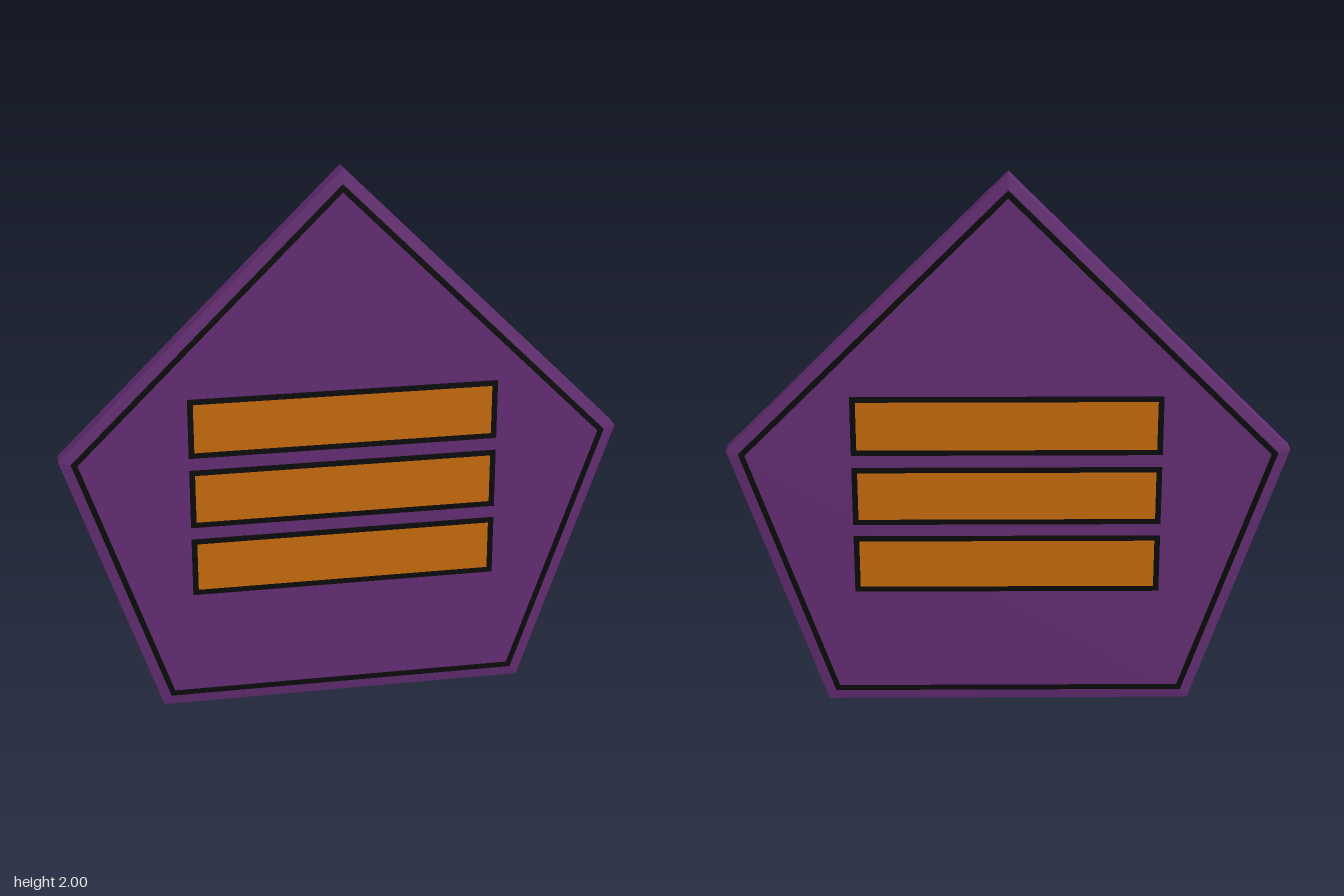
import * as THREE from 'three';

const purple = new THREE.MeshStandardMaterial({ color: 0x652d75 });
purple.name = 'purple';
const black = new THREE.MeshStandardMaterial({ color: 0x0a0a0a });
black.name = 'black';
const orange = new THREE.MeshStandardMaterial({ color: 0xc86c0c });
orange.name = 'orange';

// Counter-clockwise pentagon outline
const outline = [[-0.667, 0], [0.667, 0], [1, 1], [0, 2], [-1, 1]].map(([x, y]) => new THREE.Vector2(x, y));

// Moves every edge of a convex outline inwards by d, keeping mitred corners
function inset(points, d) {
  const n = points.length;
  return points.map((p, i) => {
    const a = p.clone().sub(points[(i + n - 1) % n]).normalize();
    const b = points[(i + 1) % n].clone().sub(p).normalize();
    const na = new THREE.Vector2(-a.y, a.x);
    const nb = new THREE.Vector2(-b.y, b.x);
    return p.clone().add(na.clone().add(nb).multiplyScalar(d / (1 + na.dot(nb))));
  });
}

function rectangle(x, y, w, h) {
  return [[-1, -1], [1, -1], [1, 1], [-1, 1]].map(([sx, sy]) => new THREE.Vector2(x + sx * w / 2, y + sy * h / 2));
}

// Thin plate centred on z, with an optional opening
function plate(name, points, opening, z, depth, material) {
  const shape = new THREE.Shape(points);
  if (opening) shape.holes.push(new THREE.Path(opening));
  const geometry = new THREE.ExtrudeGeometry(shape, { depth, bevelEnabled: false });
  geometry.translate(0, 0, z - depth / 2);
  const mesh = new THREE.Mesh(geometry, material);
  mesh.name = name;
  return mesh;
}

export function createModel() {
  const group = new THREE.Group();
  group.name = 'pentagonBadge';

  // Body with a shallow chamfer on both faces
  const bevel = 0.035, halfRim = 0.03, rise = 0.005;
  const bodyGeometry = new THREE.ExtrudeGeometry(new THREE.Shape(outline), {
    depth: halfRim * 2, bevelEnabled: true, bevelSegments: 1,
    bevelThickness: rise, bevelSize: bevel, bevelOffset: -bevel,
  });
  bodyGeometry.translate(0, 0, -halfRim);
  const body = new THREE.Mesh(bodyGeometry, purple);
  body.name = 'body';
  group.add(body);

  // The same decoration on the front and the back
  for (const [side, sign] of [['front', 1], ['back', -1]]) {
    const z = sign * 0.035;
    group.add(plate(side + 'BorderLine', inset(outline, 0.037), inset(outline, 0.057), z, 0.004, black));

    // Three framed bars
    [1.095, 0.826, 0.558].forEach((y, i) => {
      const frame = rectangle(0.005, y, 1.105, 0.222);
      const opening = inset(frame, 0.02);
      group.add(plate(side + 'BarFrame' + (i + 1), frame, opening, z, 0.006, black));
      group.add(plate(side + 'Bar' + (i + 1), opening, null, z, 0.005, orange));
    });
  }
  return group;
}
